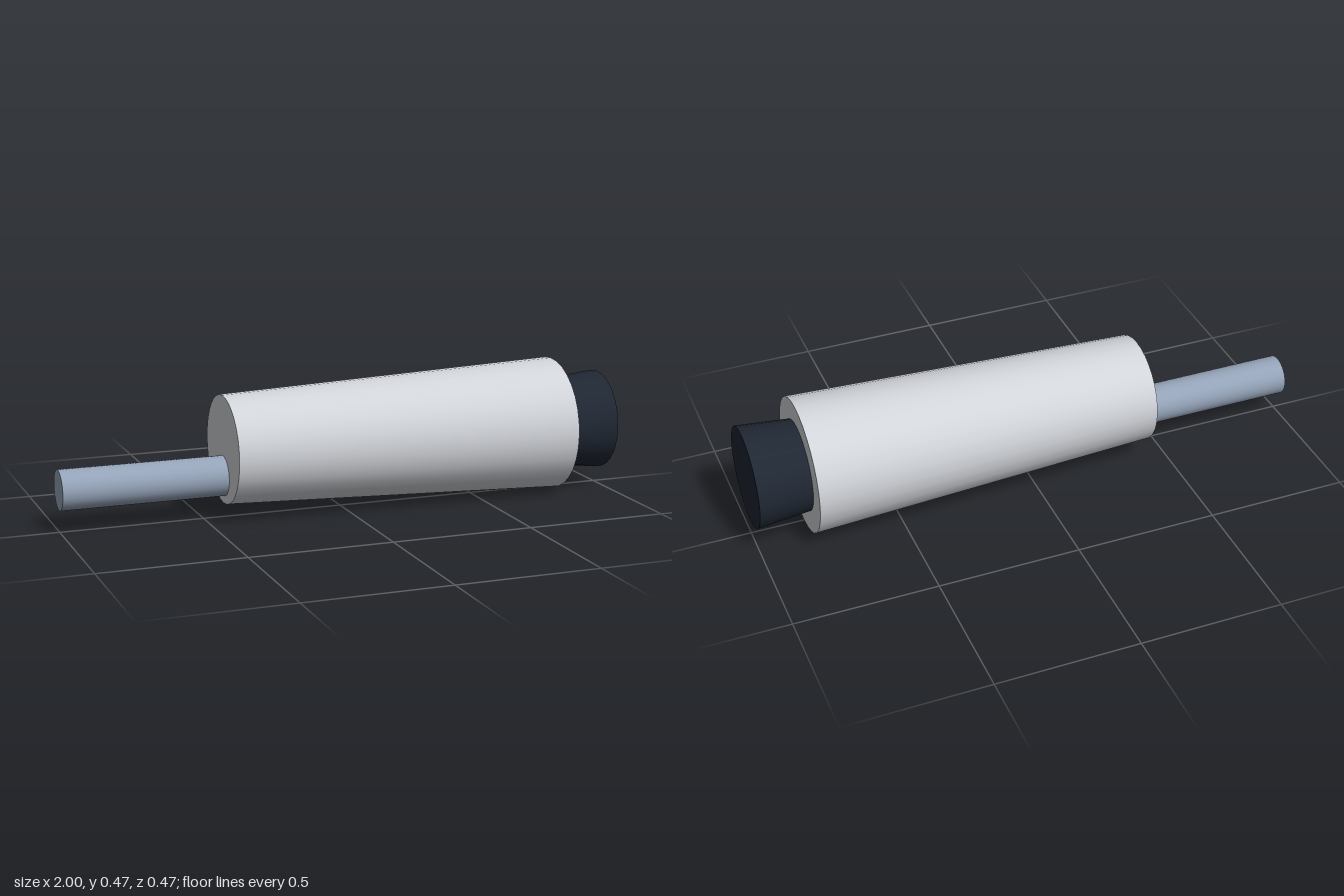
import * as THREE from 'three';

const AXIS_Y = 0.237; // height of the main axis

// Closed tapered cylinder lying along x, from x0 to x1
function barrel(name, x0, x1, r0, r1, y, color) {
  const geometry = new THREE.CylinderGeometry(r1, r0, x1 - x0, 32);
  geometry.rotateZ(-Math.PI / 2);
  const mesh = new THREE.Mesh(geometry, new THREE.MeshStandardMaterial({ color }));
  mesh.name = name;
  mesh.position.set((x0 + x1) / 2, y, 0);
  return mesh;
}

export function createModel() {
  const model = new THREE.Group();
  model.name = 'taperedBarrel';
  model.add(
    // Main body, widening towards +x
    barrel('body', -0.427, 0.813, 0.189, 0.237, AXIS_Y, 0xd1d4d9),
    // Dark flared end piece
    barrel('endPiece', 0.813, 1, 0.16, 0.177, AXIS_Y, 0x1f2733),
    // Thin rod set below the main axis
    barrel('rod', -1, -0.427, 0.07, 0.07, 0.145, 0x94a3b8),
  );
  return model;
}
